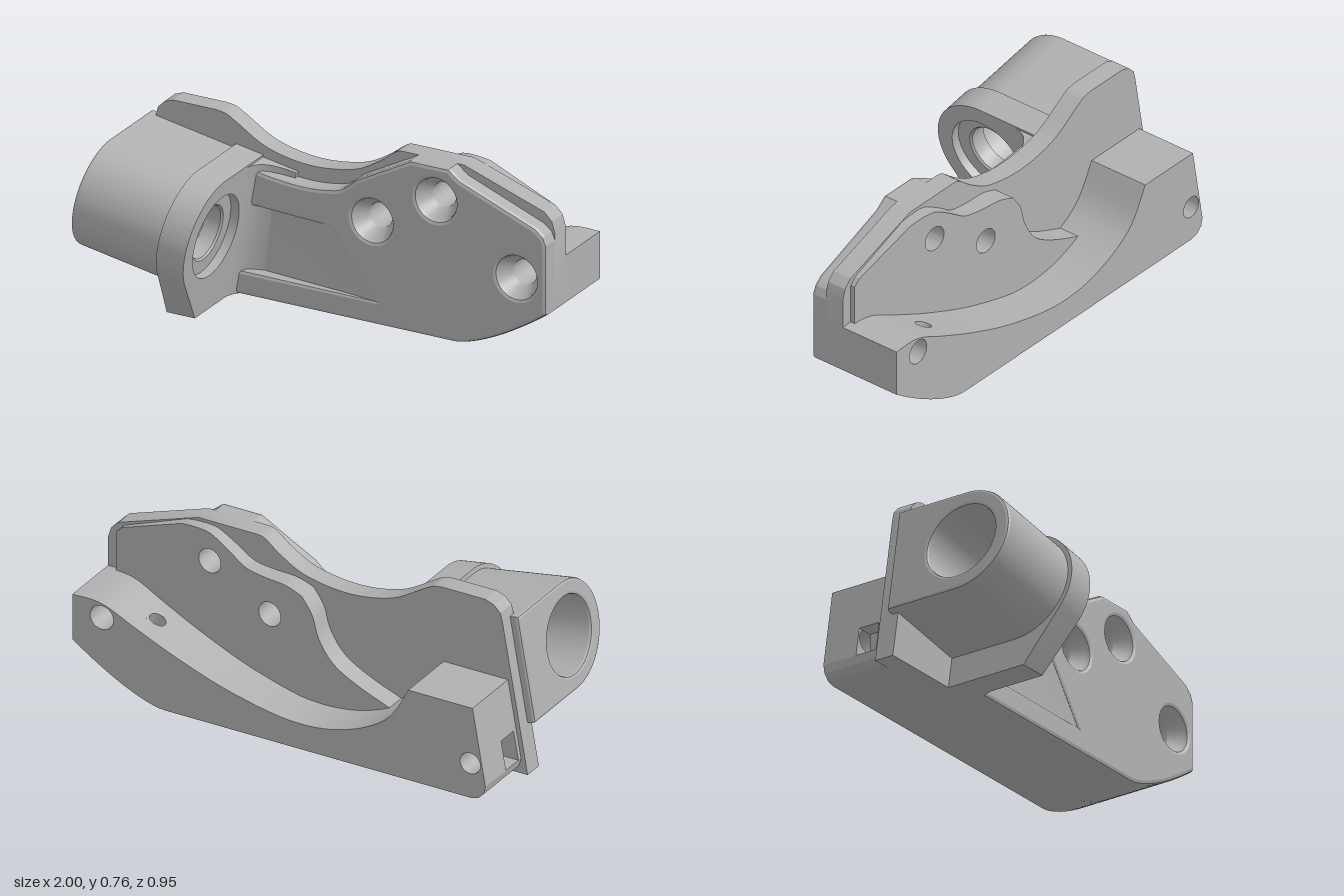
import * as THREE from 'three';
import { toCreasedNormals } from 'three/addons/utils/BufferGeometryUtils.js';

const TILT = Math.PI / 18;
const SLANT = Math.tan(TILT);
const SCREWS = [[0.18, 0.46], [0.48, 0.615], [0.86, 0.35]];
const BOLT_R = 0.055;

const vec = ([x, y]) => new THREE.Vector2(x, y);
const smooth = (pts, n) => new THREE.SplineCurve(pts.map(vec)).getPoints(n).map((p) => [p.x, p.y]);

function circle(x, y, r) {
  const path = new THREE.Path();
  path.absarc(x, y, r, 0, Math.PI * 2);
  return path;
}

// Extrusion of an outline from z0 to z1, with an optional edge bevel
function slab(outline, holes, z0, z1, bevel = 0) {
  const shape = outline instanceof THREE.Shape ? outline : new THREE.Shape(outline.map(vec));
  shape.holes.push(...holes);
  const g = new THREE.ExtrudeGeometry(shape, {
    depth: z1 - z0 - 2 * bevel, curveSegments: 32, bevelEnabled: bevel > 0,
    bevelThickness: bevel, bevelSize: bevel, bevelOffset: -bevel, bevelSegments: 2,
  });
  return g.translate(0, 0, z0 + bevel);
}

// Moves every vertex by a rule
function reshape(g, rule) {
  const p = g.attributes.position;
  const v = new THREE.Vector3();
  for (let i = 0; i < p.count; i++) {
    rule(v.fromBufferAttribute(p, i));
    p.setXYZ(i, v.x, v.y, v.z);
  }
  return g;
}

// Lower and upper edge heights of the rear ledge
const bottomY = (x) => (x < 0.57 ? 0 : 0.21 * ((x - 0.57) / 0.43) ** 1.45);
const TOP = smooth([[-0.6, 0.42], [-0.49, 0.25], [-0.28, 0.145], [-0.04, 0.12], [0.25, 0.175],
  [0.5, 0.26], [0.7, 0.345], [0.86, 0.415], [1, 0.42]], 64);
function topY(x) {
  const i = Math.max(1, TOP.findIndex((p) => p[0] >= x - 1e-6));
  const [a, b] = [TOP[i - 1], TOP[i]];
  return a[1] + (b[1] - a[1]) * (x - a[0]) / (b[0] - a[0]);
}
const bottomArc = (x0, x1, n = 16) =>
  Array.from({ length: n + 1 }, (_, i) => x0 + (x1 - x0) * i / n).map((x) => [x, bottomY(x)]);

export function createModel() {
  const model = new THREE.Group();
  model.name = 'bracket';
  const grey = new THREE.MeshStandardMaterial({ color: 0xb0b0b0, side: THREE.DoubleSide });
  grey.name = 'machined grey';

  const add = (name, g, parent = model) => {
    const mesh = new THREE.Mesh(toCreasedNormals(g, 0.35), grey);
    mesh.name = name;
    parent.add(mesh);
  };
  const boltHoles = (r) => SCREWS.map(([x, y]) => circle(x, y, r));

  // Main plate with a saddle in its top edge
  const plate = [
    [-1, 0], ...bottomArc(0.57, 1),
    [1, 0.55], [0.985, 0.6], [0.95, 0.635], [0.57, 0.765],
    ...smooth([[0.29, 0.765], [0.25, 0.755], [0.17, 0.695], [0.05, 0.635], [-0.15, 0.61],
      [-0.35, 0.645], [-0.5, 0.73], [-0.55, 0.757], [-0.6, 0.765]], 40),
    [-0.8, 0.765], [-0.84, 0.75], [-0.87, 0.72], [-0.88, 0.68],
  ];
  add('mainPlate', slab(plate, boltHoles(BOLT_R), -0.19, -0.1));

  // Raised front layer with a wedge-shaped pocket
  const front = [
    [-0.5, 0], ...bottomArc(0.57, 1),
    [1, 0.52], [0.985, 0.555], [0.95, 0.585], [0.59, 0.725], [0.54, 0.765], [0.36, 0.765],
    ...smooth([[0.1, 0.625], [0.06, 0.59], [0, 0.56], [-0.15, 0.545], [-0.35, 0.565], [-0.5, 0.61]], 20),
  ];
  const pocket = new THREE.Path([[-0.46, 0.11], [0.19, 0.105], [-0.025, 0.39], [-0.46, 0.41]].map(vec));
  add('frontLayer', slab(front, [pocket, ...boltHoles(0.093)], -0.16, -0.025, 0.017));
  const floor = new THREE.BufferGeometry();
  floor.setAttribute('position', new THREE.Float32BufferAttribute([
    -0.48, 0.08, -0.085, 0.235, 0.08, -0.028, -0.48, 0.44, -0.085,
    0.235, 0.08, -0.028, -0.02, 0.42, -0.028, -0.48, 0.44, -0.085], 3));
  add('pocketFloor', floor);

  // Countersink cones
  for (const [x, y] of SCREWS) {
    const cone = new THREE.LatheGeometry([[BOLT_R, -0.1], [0.093, -0.042]].map(vec), 32);
    add('countersink', cone.rotateX(Math.PI / 2).translate(x, y, 0));
  }

  // Rear boss around the bolt holes: a flat root and a tapered pad
  const root = [
    [-0.52, 0.06], [0.02, 0.06],
    ...smooth([[0.02, 0.595], [-0.03, 0.52], [-0.06, 0.42], [-0.13, 0.32], [-0.25, 0.25], [-0.4, 0.19]], 20),
    [-0.52, 0.19],
  ];
  const pad = [
    [0.02, 0.06], [0.6, 0.12], [0.95, 0.2], [0.95, 0.6], [0.92, 0.63], [0.62, 0.745],
    ...smooth([[0.57, 0.75], [0.48, 0.745], [0.38, 0.69], [0.3, 0.64], [0.2, 0.625], [0.1, 0.62],
      [0.02, 0.595]], 24),
  ];
  add('rearBossRoot', slab(root, [], -0.285, -0.18));
  add('rearBossPad', reshape(slab(pad, boltHoles(BOLT_R), -0.285, -0.18), (v) => {
    if (v.z < -0.25) v.z += 0.08 * (v.x - 0.02);
  }));

  // Rear ledge, in layers so that the cross holes and end notch stay open
  const ledge = (left, x1, topX0 = -0.61, topX1 = x1) => [
    ...bottomArc(left[0][0], x1, 60), [topX1, topY(topX1)],
    ...TOP.filter(([x]) => x < topX1 - 0.001 && x > topX0).reverse(), ...left.slice(1).reverse(),
  ];
  const slant = (y) => [-0.98 + SLANT * y, y];
  const roundedFoot = [[-0.9, 0], [-0.935, 0.01], [-0.96, 0.035], slant(0.07)];
  const plainEnd = [...roundedFoot, slant(0.42)];
  const notchEnd = [...roundedFoot, [-0.87, 0.07], [-0.87, 0.2], slant(0.2), slant(0.42)];
  const endHole = () => circle(-0.895, 0.16, 0.048);
  const boltHole = () => circle(0.86, 0.35, BOLT_R);
  const LEAN = 0.1;
  add('ledgeOuter', slab(ledge(plainEnd, 1), [endHole(), boltHole()], -0.475, -0.38));
  add('ledgeMiddle', slab(ledge(plainEnd, 0.63 + LEAN, -0.61, 0.63), [endHole()], -0.38, -0.31));
  const endCut = [[0.71 + LEAN, bottomY(0.71 + LEAN)], [0.71, topY(0.71)]];
  add('ledgeMiddleEnd', slab(ledge(endCut, 1, 0.712), [boltHole()], -0.38, -0.31));
  add('ledgeNotched', slab(ledge(notchEnd, 1), [boltHole()], -0.31, -0.21));
  add('ledgeInner', slab(ledge(plainEnd, 1), [boltHole()], -0.21, -0.185));

  // Leaning cross hole that fills the gap in the middle layer
  const sleeve = slab([[0.63, 0.31], [0.71, 0.31], [0.71, 0.38], [0.63, 0.38]], [circle(0.67, 0.345, 0.034)], 0, 1);
  add('ledgeCrossHole', reshape(sleeve.rotateX(-Math.PI / 2), (v) => {
    const upper = v.y > 0.5;
    if (!upper) v.x += LEAN;
    v.y = upper ? topY(v.x) : bottomY(v.x);
  }));

  // Tilted barrel group: local x runs along the bore
  const barrel = new THREE.Group();
  barrel.name = 'barrelAssembly';
  barrel.position.set(-0.96, 0.45, 0);
  barrel.rotation.z = -TILT;
  model.add(barrel);
  const Z = 0.215;
  const toGround = (v) => {
    if (v.y < -0.3) v.y = (Math.sin(TILT) * v.x - 0.45) / Math.cos(TILT);
  };

  const tube = new THREE.Shape();
  tube.moveTo(0.13, -0.24);
  tube.lineTo(0.13, 0.24);
  tube.absarc(-Z, 0, 0.24, Math.PI / 2, Math.PI * 1.5);
  add('barrel', slab(tube, [circle(-Z, 0, 0.17)], 0, 0.45, 0.012).rotateY(Math.PI / 2), barrel);

  // Flange that reaches down to the ground
  const flange = new THREE.Shape();
  flange.moveTo(0.13, -0.37);
  flange.lineTo(0.13, 0.26);
  flange.absarc(-Z, 0, 0.26, Math.PI / 2, Math.PI * 1.18);
  flange.lineTo(-0.28, -0.37);
  add('flange', reshape(slab(flange, [circle(-Z, 0, 0.185)], 0.42, 0.55).rotateY(Math.PI / 2), toGround), barrel);

  // Stepped bore lining
  const bore = new THREE.LatheGeometry(
    [[0.186, 0.51], [0.125, 0.51], [0.117, 0.502], [0.117, 0.43], [0.19, 0.43]].map(vec), 48);
  add('boreStep', bore.rotateZ(-Math.PI / 2).translate(0, 0, Z), barrel);

  // Concave fillet between flange and plate
  const fillet = new THREE.Shape();
  fillet.moveTo(0.54, -0.03);
  fillet.lineTo(0.55, -0.03);
  fillet.quadraticCurveTo(0.56, 0.08, 0.72, 0.08);
  fillet.lineTo(0.72, 0.1);
  fillet.lineTo(0.54, 0.1);
  add('flangeFillet', reshape(slab(fillet, [], -0.36, 0.25).rotateX(-Math.PI / 2), toGround), barrel);

  return model;
}
